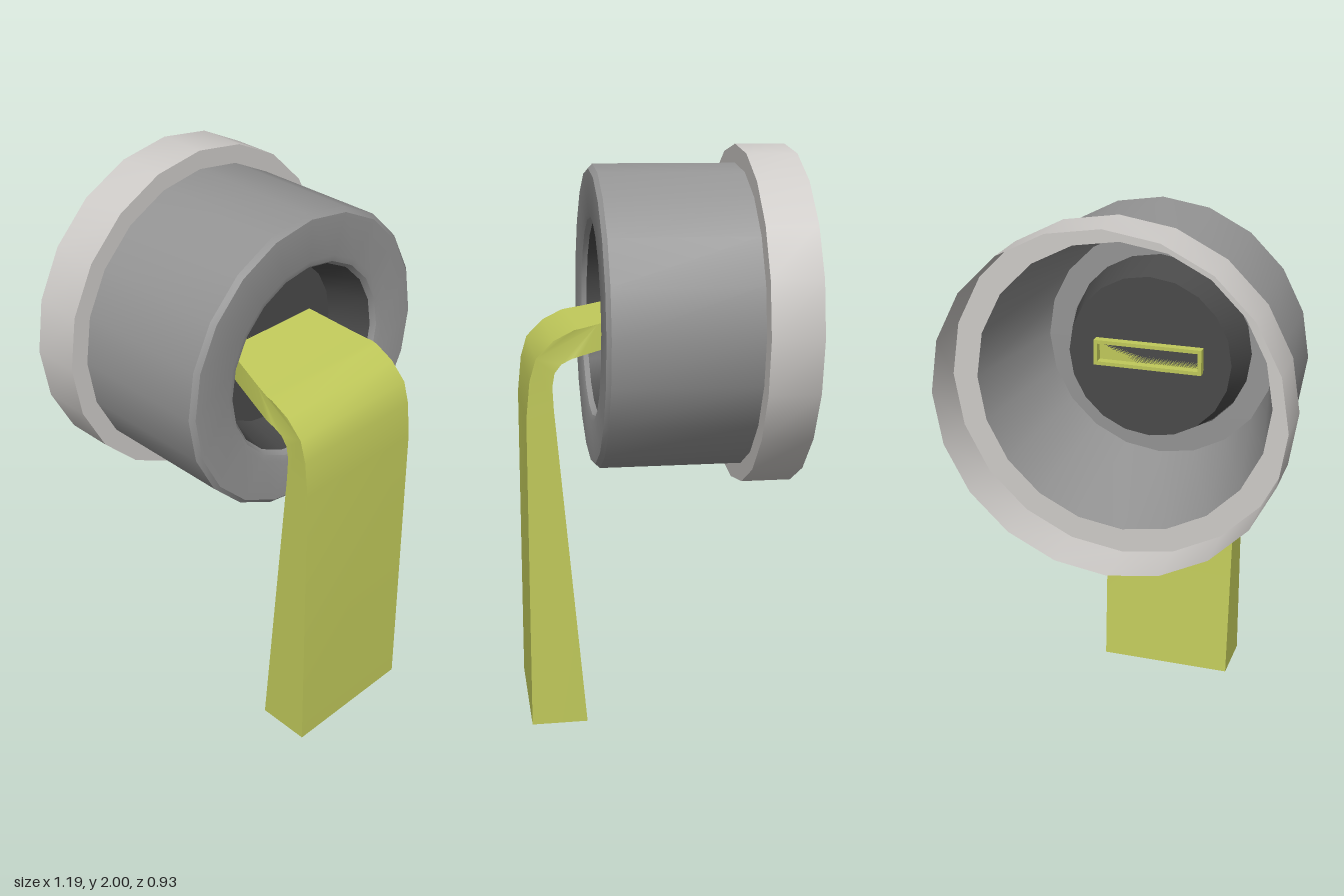
import * as THREE from 'three';
import { toCreasedNormals } from 'three/addons/utils/BufferGeometryUtils.js';

const AXIS_Y = 1.405;
const SIDES = 20;

const makeMaterial = (name, color) =>
  new THREE.MeshStandardMaterial({ name, color, side: THREE.DoubleSide });

// Revolve (radius, z) pairs around the horizontal front-back axis
function turned(name, profile, material) {
  const points = profile.map(([r, z]) => new THREE.Vector2(r, z));
  const lathe = new THREE.LatheGeometry(points, SIDES).rotateX(Math.PI / 2);
  const mesh = new THREE.Mesh(toCreasedNormals(lathe, 0.6), material);
  mesh.name = name;
  mesh.position.y = AXIS_Y;
  return mesh;
}

// Strap: side profile of (z, y) pairs, extruded across x and narrowed at the inner end
function makeHandle(material) {
  const profile = [
    [0.27, 0], [0.465, 0], [0.465, 1.1], [0.452, 1.23], [0.43, 1.305],
    [0.37, 1.365], [0.3, 1.4], [0.28, 1.404], [0.22, 1.416], [0.04, 1.46],
    [0.04, 1.37], [0.22, 1.326], [0.28, 1.312], [0.31, 1.303], [0.345, 1.285],
    [0.368, 1.255], [0.376, 1.21], [0.372, 1.13],
  ];
  const shape = new THREE.Shape(profile.map(([z, y]) => new THREE.Vector2(-z, y)));
  const geometry = new THREE.ExtrudeGeometry(shape, { depth: 0.51, bevelEnabled: false });
  geometry.translate(0, 0, -0.255).rotateY(Math.PI / 2);
  const pos = geometry.attributes.position;
  for (let i = 0; i < pos.count; i++) {
    // after the turn, local x has become -z, so profile z is read back directly
    const taper = THREE.MathUtils.clamp((0.28 - pos.getZ(i)) / 0.24, 0, 1);
    pos.setX(i, pos.getX(i) * (1 - 0.235 * taper));
  }
  const mesh = new THREE.Mesh(toCreasedNormals(geometry, 0.6), material);
  mesh.name = 'handle';
  return mesh;
}

// Hollow end of the strap standing proud of the plate's rear
function makeSocket(material) {
  const rectangle = (Type, w, h) => new Type([
    new THREE.Vector2(-w, -h), new THREE.Vector2(w, -h),
    new THREE.Vector2(w, h), new THREE.Vector2(-w, h),
  ]);
  const shape = rectangle(THREE.Shape, 0.195, 0.046);
  shape.holes.push(rectangle(THREE.Path, 0.182, 0.033));
  const geometry = new THREE.ExtrudeGeometry(shape, { depth: 0.03, bevelEnabled: false });
  const mesh = new THREE.Mesh(geometry, material);
  mesh.name = 'handleSocket';
  mesh.position.set(0, 1.417, 0.01);
  return mesh;
}

export function createModel() {
  const bodyGrey = makeMaterial('body grey', 0x949494);
  const flangeGrey = makeMaterial('pale flange grey', 0xcecbc8);
  const darkGrey = makeMaterial('dark recess grey', 0x4a4a4a);
  const strapGreen = makeMaterial('yellow green', 0xc0c95a);

  const model = new THREE.Group();
  model.name = 'capWithHandle';
  model.add(
    // Cup with chamfered front rim, rounded opening and tapered inside
    turned('body', [
      [0.53, -0.29], [0.53, 0.208], [0.514, 0.223], [0.37, 0.223], [0.348, 0.216], [0.335, 0.198],
    ], bodyGrey),
    turned('bodyInside', [[0.335, 0.18], [0.42, 0.18], [0.508, -0.288]], bodyGrey),
    // Thin rear collar with its front ledge
    turned('flange', [[0.595, -0.465], [0.595, -0.29], [0.508, -0.29]], flangeGrey),
    // Dark opening with the plate that holds the handle
    turned('recess', [[0.335, 0.198], [0.295, 0.04], [0, 0.04]], darkGrey),
    makeHandle(strapGreen),
    makeSocket(strapGreen),
  );
  return model;
}
